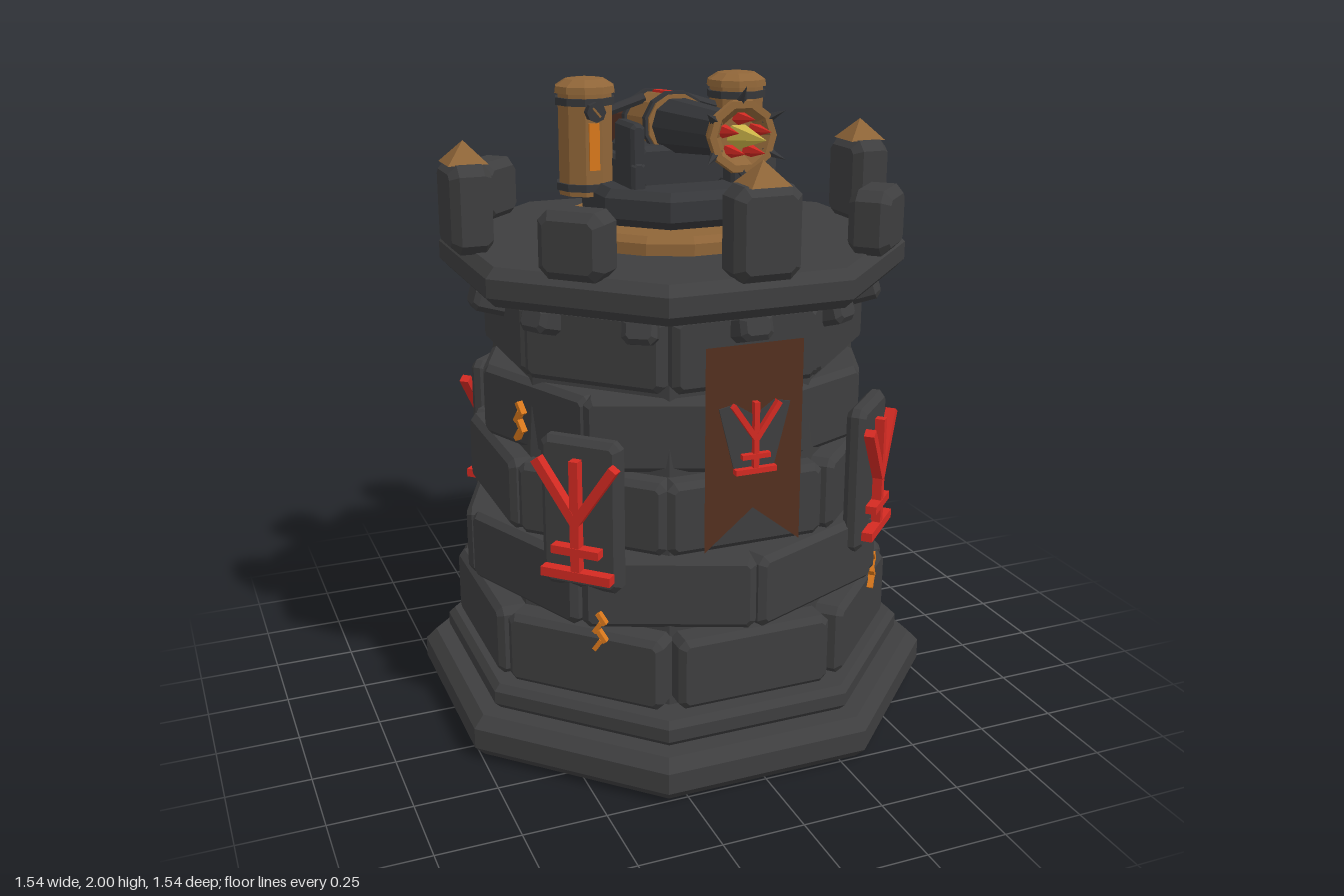
import * as THREE from 'three';

const material = (name, color) => {
  const m = new THREE.MeshStandardMaterial({ color });
  m.name = name;
  return m;
};
const stone = material('stone', 0x3e3e3f);
const iron = material('iron', 0x36373a);
const brass = material('brass', 0x8f6538);
const wood = material('dark wood', 0x43261c);
const cloth = material('banner cloth', 0x54301f);
cloth.side = THREE.DoubleSide;
const red = material('red', 0xd42a22);
const orange = material('orange glow', 0xd9781c);
const yellow = material('yellow flame', 0xd0b84a);

export function createModel() {
  const model = new THREE.Group();
  model.name = 'cannonTower';
  let seed = 7;
  const jitter = (s) => {
    seed = (seed * 16807) % 2147483647;
    return (seed / 2147483647 - 0.5) * 2 * s;
  };

  const add = (parent, name, geometry, mat, x = 0, y = 0, z = 0) => {
    const g = geometry.index ? geometry.toNonIndexed() : geometry;
    g.computeVertexNormals(); // faceted look
    const mesh = new THREE.Mesh(g, mat);
    mesh.name = name;
    mesh.position.set(x, y, z);
    parent.add(mesh);
    return mesh;
  };
  const group = (parent, name, x = 0, y = 0, z = 0, angle = 0) => {
    const g = new THREE.Group();
    g.name = name;
    g.position.set(x, y, z);
    g.rotation.y = angle;
    parent.add(g);
    return g;
  };
  const box = (w, h, d) => new THREE.BoxGeometry(w, h, d);
  const polygon = (pts) => new THREE.Shape(pts.map(([x, y]) => new THREE.Vector2(x, y)));
  // Box with all edges chamfered by b
  const block = (w, h, d, b = 0.02) => {
    const x = w / 2 - b, y = h / 2 - b, c = b * 0.6;
    const shape = polygon([[-x + c, -y], [x - c, -y], [x, -y + c], [x, y - c],
      [x - c, y], [-x + c, y], [-x, y - c], [-x, -y + c]]);
    return new THREE.ExtrudeGeometry(shape, {
      depth: d - 2 * b, bevelSize: b, bevelThickness: b, bevelSegments: 1,
    }).translate(0, 0, -d / 2 + b);
  };
  // Faceted solid of revolution; flats face the axes
  const turned = (profile, sides) => new THREE.LatheGeometry(
    profile.map(([r, y]) => new THREE.Vector2(r, y)), sides).rotateY(Math.PI / sides);
  const octagon = (apothem, y0, y1, b) => {
    const r = apothem / Math.cos(Math.PI / 8);
    return turned([[0, y0], [r - b, y0], [r, y0 + b], [r, y1 - b], [r - b, y1], [0, y1]], 8);
  };
  // Forked rune made of flat bars, centred on its foot
  const rune = (parent, s) => {
    const g = group(parent, 'rune');
    g.scale.set(s, s, 1);
    add(g, 'runeStem', box(0.028, 0.35, 0.03), red, 0, 0.175, 0);
    add(g, 'runeFoot', box(0.22, 0.028, 0.034), red);
    add(g, 'runeBar', box(0.15, 0.025, 0.034), red, 0, 0.075, 0);
    for (const side of [-1, 1]) {
      add(g, 'runeArm', box(0.028, 0.22, 0.032), red, side * 0.06, 0.25, 0).rotation.z = -side * 0.6;
    }
    return g;
  };

  // Plinth, core and platform
  add(model, 'plinth', octagon(0.77, 0, 0.135, 0.035), stone);
  add(model, 'plinthStep', octagon(0.695, 0.135, 0.215, 0.02), stone);
  add(model, 'core', turned([[0.64, 0.2], [0.55, 1.4]], 8), stone);
  add(model, 'platform', octagon(0.67, 1.39, 1.505, 0.03), stone);

  // Staggered brick courses: [bottom, apothem, brick width, half-step]
  const courses = [[0.22, 0.66, 0.5, 0], [0.455, 0.635, 0.505, 0.5], [0.69, 0.608, 0.475, 0],
    [0.92, 0.575, 0.475, 0.5], [1.16, 0.56, 0.44, 0]];
  courses.forEach(([y, a, w, shift], row) => {
    const course = group(model, 'brickCourse' + (row + 1));
    for (let i = 0; i < 8; i++) {
      const seat = group(course, 'brickSeat', 0, y + 0.113, 0, (i + shift) * Math.PI / 4);
      add(seat, 'brick', block(w + jitter(0.015), 0.222, 0.15, 0.018), stone,
        jitter(0.008), 0, a - 0.075 + jitter(0.006));
    }
  });

  // Corbels under the platform
  for (let i = 0; i < 12; i++) {
    const seat = group(model, 'corbelSeat', 0, 1.345, 0, i * Math.PI / 6);
    add(seat, 'corbel', block(0.1, 0.08, 0.13, 0.015), stone, 0, 0, 0.58).rotation.x = -0.3;
  }

  // Glowing cracks: [degrees, height, radius]
  for (const [deg, y, r] of [[22.5, 1.23, 0.575], [-70, 1.02, 0.6], [-40, 0.455, 0.67], [112.5, 0.82, 0.625],
    [-112.5, 0.82, 0.625], [-172, 0.455, 0.67], [150, 0.88, 0.625], [50, 0.455, 0.67]]) {
    const crack = group(model, 'crack', 0, y, 0, deg * Math.PI / 180);
    for (let k = 0; k < 4; k++) {
      add(crack, 'crackSegment', box(0.014, 0.04, 0.02), orange,
        (k % 2 ? 0.006 : -0.006), (k - 1.5) * 0.028, r).rotation.z = k % 2 ? 0.6 : -0.6;
    }
  }

  // Battlements, and rune slabs on the diagonals
  for (let i = 0; i < 8; i++) {
    const diagonal = i % 2 === 1;
    const h = diagonal ? 0.19 : 0.26;
    const side = group(model, diagonal ? 'plainMerlon' : 'cappedMerlon', 0, 0, 0, i * Math.PI / 4);
    add(side, 'merlon', block(0.2, h, 0.125, 0.025), stone, 0, 1.5 + h / 2, 0.65);
    if (diagonal) {
      add(side, 'runeSlab', block(0.25, 0.46, 0.06, 0.018), stone, 0, 0.81, 0.645);
      rune(side, 1).position.set(0, 0.635, 0.692);
    } else {
      add(side, 'merlonCap', new THREE.ConeGeometry(0.084, 0.065, 4).rotateY(Math.PI / 4),
        brass, 0, 1.79, 0.65);
    }
  }

  // Swallow-tailed banner with emblem
  const banner = group(model, 'banner', 0, 0, 0.623);
  add(banner, 'bannerCloth', new THREE.ShapeGeometry(polygon(
    [[-0.15, 0.7], [0, 0.82], [0.15, 0.7], [0.15, 1.31], [-0.15, 1.31]])), cloth);
  add(banner, 'bannerShield', new THREE.ExtrudeGeometry(polygon(
    [[-0.06, 0.935], [0.06, 0.935], [0.11, 1.13], [0.06, 1.14], [0, 1.1], [-0.06, 1.14], [-0.11, 1.13]]),
  { depth: 0.004, bevelEnabled: false }), stone);
  rune(banner, 0.58).position.set(0, 0.94, 0.006);

  // Turntable
  add(model, 'turntableRing', turned([[0, 1.5], [0.358, 1.5], [0.358, 1.54], [0.34, 1.56], [0, 1.56]], 16), brass);
  add(model, 'turntableBase', octagon(0.255, 1.56, 1.67, 0.025), iron);

  // Boilers and cradle, mirrored
  for (const s of [-1, 1]) {
    const boiler = group(model, 'boiler', s * 0.25, 0, -0.08);
    add(boiler, 'boilerBody', turned([[0, 1.63], [0.085, 1.63], [0.085, 1.935], [0.095, 1.935],
      [0.092, 1.955], [0.06, 1.975], [0, 1.982]], 10), brass);
    for (const y of [1.645, 1.9]) {
      add(boiler, 'boilerBand', turned([[0.08, y], [0.093, y], [0.093, y + 0.022], [0.08, y + 0.022]], 10), iron);
    }
    add(boiler, 'boilerWindow', box(0.032, 0.14, 0.009), orange, 0, 1.78, 0.084);
    add(model, 'cradleCheek', block(0.045, 0.25, 0.15, 0.01), iron, s * 0.16, 1.735, 0.065);
    add(model, 'cradleRail', block(0.045, 0.1, 0.27, 0.01), iron, s * 0.16, 1.7, 0.01);
    add(model, 'boilerPipe', new THREE.CylinderGeometry(0.016, 0.016, 0.14, 6).rotateZ(Math.PI / 2),
      iron, s * 0.13, 1.89, -0.07).rotation.z = -s * 0.3;
  }
  const gauge = group(model, 'gauge', -0.25, 1.885, 0.015);
  add(gauge, 'gaugeRim', new THREE.CylinderGeometry(0.03, 0.03, 0.03, 8).rotateX(Math.PI / 2), iron);
  add(gauge, 'gaugeNeedle', box(0.006, 0.035, 0.006), brass, 0, 0, 0.017).rotation.z = 0.7;
  add(model, 'cradleBlock', block(0.28, 0.13, 0.26, 0.015), iron, 0, 1.72, -0.04);

  // Cannon, pitched slightly upward
  const cannon = group(model, 'cannon', 0, 1.835, 0);
  cannon.rotation.x = -0.06;
  const along = (name, profile, sides, mat) => add(cannon, name, turned(profile, sides).rotateX(Math.PI / 2), mat);
  along('breech', [[0, -0.19], [0.07, -0.19], [0.095, -0.165], [0.095, 0.05], [0, 0.05]], 12, brass);
  for (const z of [-0.165, 0.015]) {
    along('breechBand', [[0.09, z], [0.104, z], [0.104, z + 0.025], [0.09, z + 0.025]], 12, iron);
  }
  add(cannon, 'breechSlot', box(0.026, 0.009, 0.1), red, 0, 0.095, -0.07);
  along('barrel', [[0, 0.04], [0.084, 0.04], [0.062, 0.44], [0, 0.44]], 10, iron);
  along('muzzle', [[0.06, 0.42], [0.07, 0.425], [0.075, 0.45], [0.103, 0.51], [0.1, 0.525],
    [0.08, 0.525], [0.055, 0.49], [0, 0.485]], 10, brass);
  for (let i = 0; i < 6; i++) {
    const spoke = group(cannon, 'muzzleSpoke');
    spoke.rotation.z = i * Math.PI / 3;
    add(spoke, 'muzzleSpike', new THREE.ConeGeometry(0.018, 0.07, 5), iron, 0, 0.108, 0.525).rotation.x = 0.7;
  }
  const flame = (name, r, h, mat, x, y) => add(cannon, name,
    new THREE.ConeGeometry(r, h, 5).rotateX(Math.PI / 2), mat, x, y, 0.48 + h / 2);
  flame('flameCore', 0.038, 0.19, yellow, 0, 0);
  for (let i = 0; i < 5; i++) {
    const a = i * Math.PI * 0.4 + 0.3;
    flame('flameTongue', 0.022, 0.12, red, Math.cos(a) * 0.05, Math.sin(a) * 0.05);
  }

  // Ammunition hopper behind the breech
  const hopper = group(model, 'hopper', 0, 1.775, -0.31);
  add(hopper, 'hopperBody', box(0.18, 0.1, 0.08), wood);
  for (const s of [-1, 1]) {
    add(hopper, 'hopperPlank', box(0.22, 0.14, 0.02), wood, 0, 0, s * 0.05).rotation.x = s * 0.14;
    add(hopper, 'hopperEnd', box(0.015, 0.11, 0.09), wood, s * 0.09, 0.005, 0);
  }
  add(model, 'breechLever', box(0.03, 0.07, 0.025), iron, 0, 1.8, -0.215).rotation.x = 0.7;

  return model;
}
